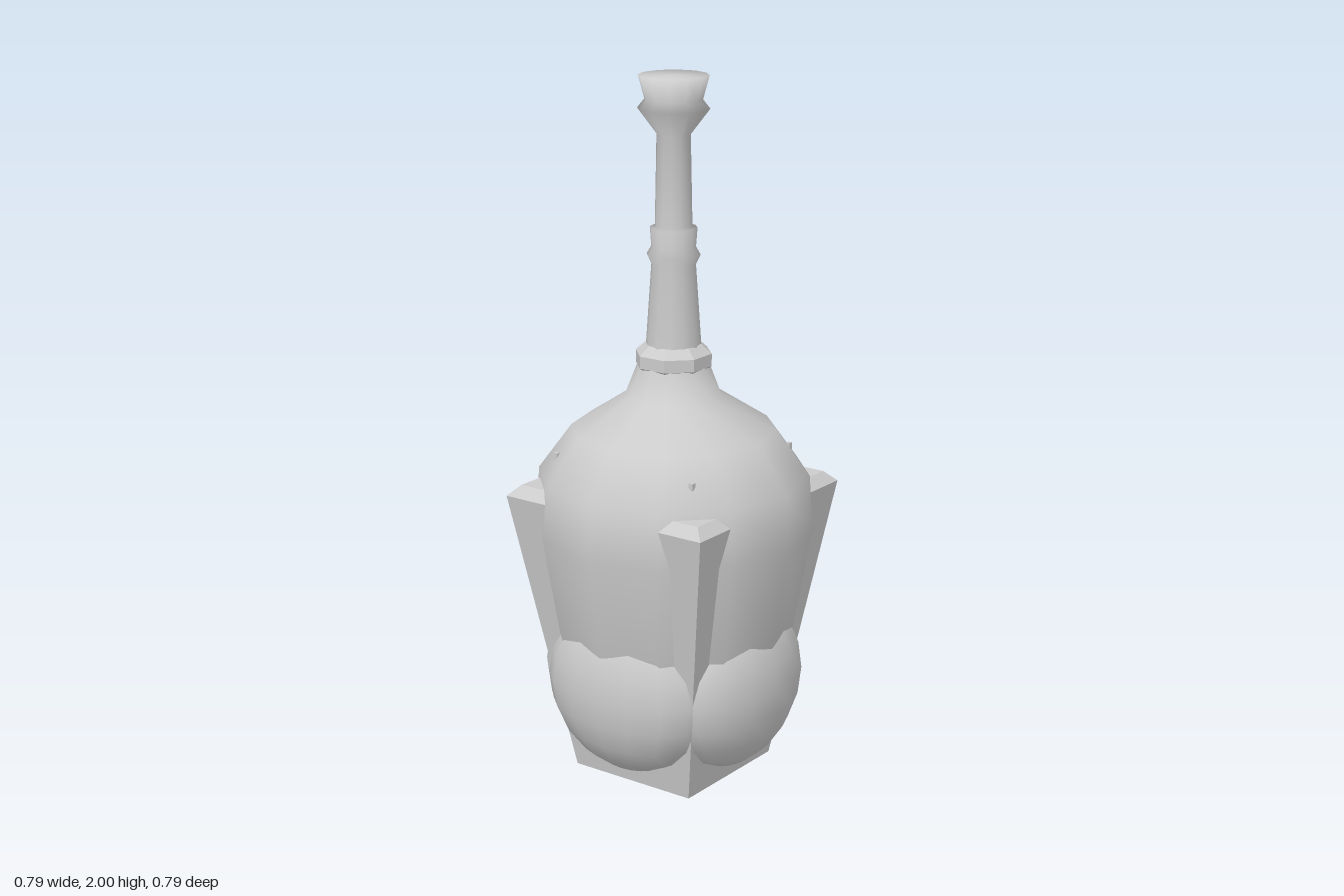
import * as THREE from 'three';

export function createModel() {
  const model = new THREE.Group();
  const smooth = new THREE.MeshStandardMaterial({ color: 0xcccccc });
  const flat = new THREE.MeshStandardMaterial({ color: 0xcccccc, flatShading: true });

  const add = (name, geometry, material) => {
    const mesh = new THREE.Mesh(geometry, material);
    mesh.name = name;
    model.add(mesh);
    return mesh;
  };
  // Profiles are [radius, height] pairs, listed from bottom to top
  const lathe = (profile, sides) =>
    new THREE.LatheGeometry(profile.map(([r, y]) => new THREE.Vector2(r, y)), sides);

  // Bulbous twelve-sided body
  add('body', lathe([
    [0, 0.1], [0.2, 0.12], [0.29, 0.25], [0.345, 0.43], [0.395, 0.72],
    [0.385, 0.88], [0.29, 1.01], [0.135, 1.11], [0.1, 1.2], [0.08, 1.25],
  ], 12), smooth);

  // Tapered square core: its corners emerge as the foot and the four fins
  const d = Math.SQRT2;
  add('squareCore', lathe([
    [0, 0], [0.2 * d, 0], [0.335 * d, 0.83], [0.305 * d, 0.86], [0, 0.86],
  ], 4), flat).rotation.y = Math.PI / 4;

  // Four rounded lobes around the bottom, and a small stud above each fin
  for (let i = 0; i < 4; i++) {
    const a = (i * Math.PI) / 2;
    const lobe = add('lobe', new THREE.SphereGeometry(1, 16, 10), smooth);
    lobe.scale.set(0.268, 0.253, 0.162);
    lobe.position.set(Math.sin(a) * 0.203, 0.3, Math.cos(a) * 0.203);
    lobe.rotation.y = a;

    const stud = add('stud', new THREE.BoxGeometry(0.013, 0.02, 0.013), flat);
    stud.position.set(i % 2 ? 0.234 : -0.234, 0.94, i < 2 ? 0.234 : -0.234);
  }

  // Octagonal collar at the root of the neck
  add('collar', lathe([
    [0.085, 1.175], [0.109, 1.195], [0.109, 1.23], [0.08, 1.255], [0, 1.255],
  ], 8), flat).rotation.y = Math.PI / 8;

  // Neck with raised rings and a flared lip
  add('neck', lathe([
    [0.08, 1.22], [0.077, 1.26], [0.062, 1.48], [0.075, 1.507], [0.062, 1.53],
    [0.066, 1.583], [0.052, 1.587], [0.047, 1.84], [0.1, 1.91], [0.08, 1.935],
    [0.098, 2], [0, 2],
  ], 12), smooth);

  return model;
}
